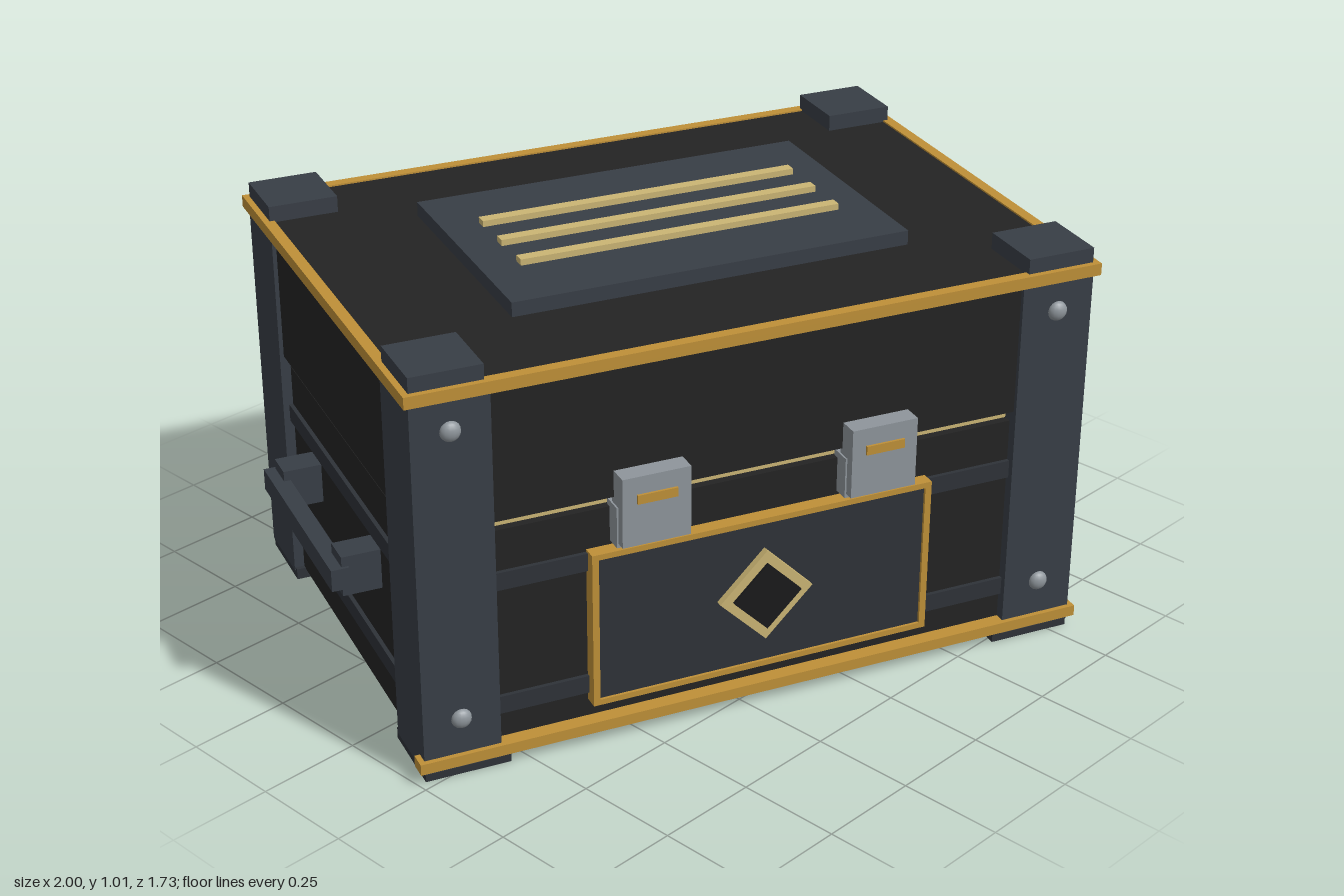
import * as THREE from 'three';

const mat = (name, color) => {
  const m = new THREE.MeshStandardMaterial({ color });
  m.name = name;
  return m;
};

export function createModel() {
  const body = mat('charcoal', 0x232323);
  const steel = mat('slate steel', 0x383e46);
  const dark = mat('dark slate', 0x2e3238);
  const amber = mat('amber trim', 0xbf9038);
  const brass = mat('pale brass', 0xcbb574);
  const silver = mat('silver', 0x8e959b);
  const black = mat('black', 0x1a1a1b);

  const model = new THREE.Group();
  model.name = 'crate';
  const crate = new THREE.Group();
  crate.name = 'turnedCrate';
  crate.rotation.y = -THREE.MathUtils.degToRad(22);
  model.add(crate);

  // Box given by its [min, max] range on each axis
  const box = (name, m, [x0, x1], [y0, y1], [z0, z1]) => {
    const mesh = new THREE.Mesh(new THREE.BoxGeometry(x1 - x0, y1 - y0, z1 - z0), m);
    mesh.position.set((x0 + x1) / 2, (y0 + y1) / 2, (z0 + z1) / 2);
    mesh.name = name;
    crate.add(mesh);
    return mesh;
  };
  const span = (c, half) => [c - half, c + half];
  const side = (s, a, b) => (s > 0 ? [a, b] : [-b, -a]);
  const both = [-1, 1];

  // Lower box, recessed brass seam and lid
  box('lowerBody', body, [-0.8, 0.8], [0.025, 0.585], [-0.555, 0.555]);
  box('seamBand', brass, [-0.78, 0.78], [0.58, 0.625], [-0.535, 0.535]);
  box('lid', body, [-0.815, 0.815], [0.615, 0.96], [-0.57, 0.57]);

  // Reinforcing rails around the lower box
  for (const y of [0.145, 0.462]) {
    box('rail', dark, [-0.81, 0.81], span(y, 0.022), [-0.565, 0.565]);
  }

  // Corner posts with caps, feet and rivets
  const rivet = new THREE.SphereGeometry(0.024, 14, 10);
  for (const sx of both) for (const sz of both) {
    box('cornerPost', steel, side(sx, 0.643, 0.825), [0.02, 0.95], side(sz, 0.397, 0.58));
    box('cornerCap', steel, side(sx, 0.655, 0.823), [0.95, 1.0], side(sz, 0.41, 0.578));
    box('foot', dark, side(sx, 0.62, 0.823), [0, 0.028], side(sz, 0.385, 0.578));
    for (const y of [0.147, 0.86]) {
      const r = new THREE.Mesh(rivet, silver);
      r.name = 'rivet';
      r.scale.z = 0.7;
      r.position.set(sx * 0.735, y, sz * 0.58);
      crate.add(r);
    }
  }

  // Amber trim round the lid and along the bottom front
  for (const s of both) {
    box('lidTrimLong', amber, [-0.838, 0.838], [0.935, 0.964], side(s, 0.565, 0.592));
    box('lidTrimShort', amber, side(s, 0.811, 0.838), [0.935, 0.964], [-0.565, 0.565]);
  }
  box('bottomTrim', amber, [-0.838, 0.838], [0.03, 0.057], [0.55, 0.592]);

  // Raised lid plate with three brass strips
  box('lidPlate', steel, [-0.49, 0.49], [0.955, 0.995], [-0.31, 0.31]);
  for (const z of [-0.12, 0, 0.12]) {
    box('lidStrip', brass, [-0.4, 0.4], [0.99, 1.01], span(z, 0.014));
  }

  // Framed front plate with diamond emblem
  box('frontPlate', dark, [-0.415, 0.415], [0.105, 0.485], [0.55, 0.583]);
  for (const s of both) {
    box('plateFrameSide', amber, side(s, 0.407, 0.423), [0.1, 0.49], [0.55, 0.59]);
    box('plateFrameBar', amber, [-0.407, 0.407], span(0.295 + s * 0.188, 0.007), [0.55, 0.59]);
  }
  box('diamondRim', brass, span(0, 0.082), span(0.295, 0.082), [0.57, 0.6]).rotation.z = Math.PI / 4;
  box('diamondCentre', black, span(0, 0.06), span(0.295, 0.06), [0.57, 0.608]).rotation.z = Math.PI / 4;

  // Latches across the seam
  for (const s of both) {
    box('latchBase', silver, span(s * 0.28, 0.086), [0.5, 0.6], [0.54, 0.595]);
    box('latchHasp', silver, span(s * 0.28, 0.082), [0.51, 0.68], [0.56, 0.618]);
    box('latchBar', amber, span(s * 0.28, 0.048), span(0.626, 0.011), [0.615, 0.624]);
  }

  // Side handles on two brackets
  for (const s of both) {
    box('handleBar', steel, side(s, 0.877, 0.92), span(0.368, 0.027), [-0.263, 0.263]);
    for (const z of both) {
      box('handleBracket', steel, side(s, 0.79, 0.893), span(0.37, 0.05), span(z * 0.22, 0.036));
    }
  }
  return model;
}
